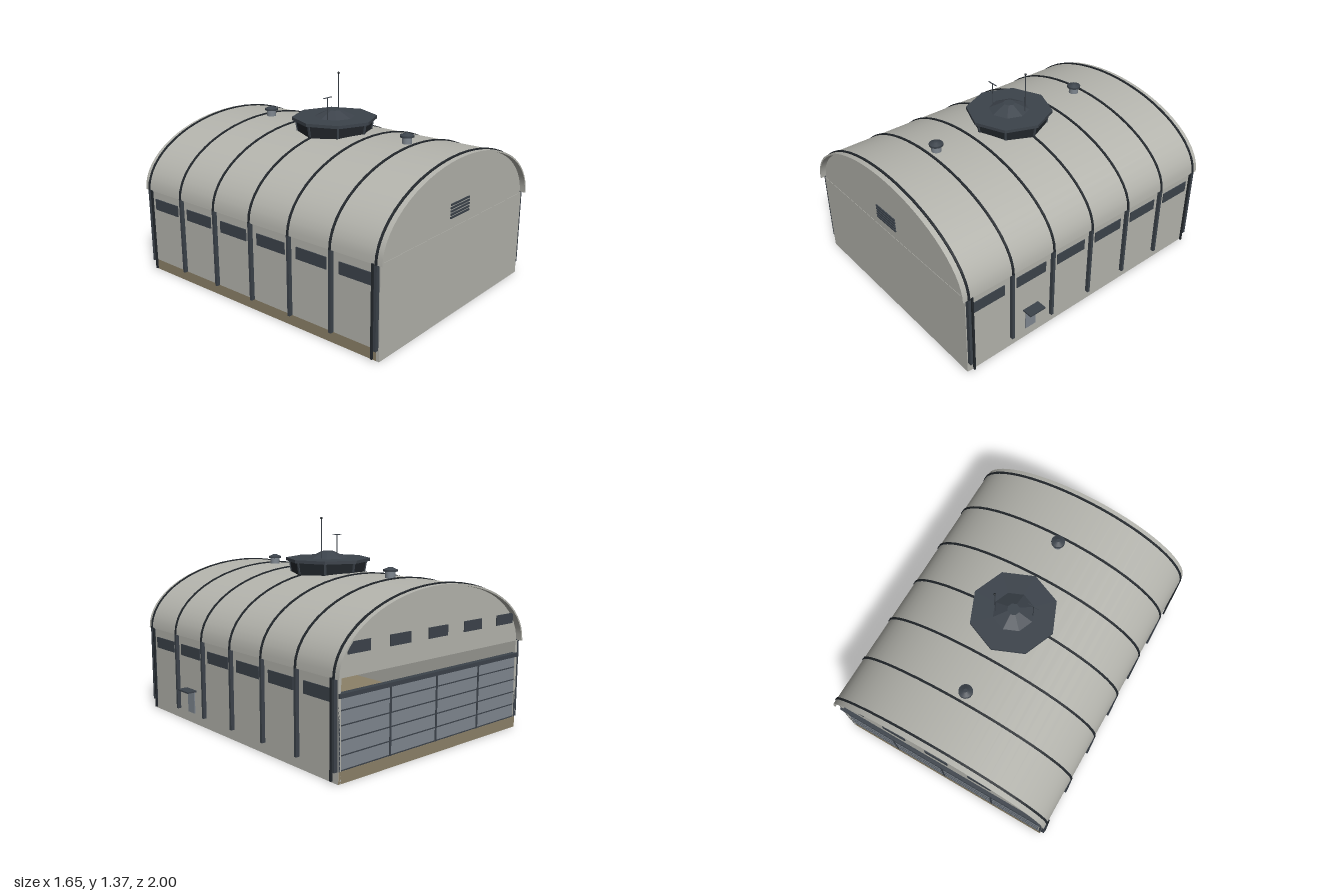
import * as THREE from 'three';
import { toCreasedNormals } from 'three/addons/utils/BufferGeometryUtils.js';

const mat = (name, color, side = THREE.FrontSide) => {
  const m = new THREE.MeshStandardMaterial({ color, side });
  m.name = name;
  return m;
};

export function createModel() {
  const wall = mat('wall grey', 0xb4b4ad, THREE.DoubleSide);
  const trim = mat('dark trim', 0x23282d);
  const steel = mat('blue steel', 0x3c434b);
  const door = mat('door grey', 0x7f8790);
  const concrete = mat('concrete tan', 0x8c8168);

  const root = new THREE.Group();
  root.name = 'hangar';
  const body = new THREE.Group();
  body.name = 'building';
  body.position.x = -0.0225;
  root.add(body);

  const add = (name, geo, material, x = 0, y = 0, z = 0) => {
    const m = new THREE.Mesh(geo, material);
    m.name = name;
    m.position.set(x, y, z);
    body.add(m);
    return m;
  };
  const box = (name, material, w, h, d, x, y, z) =>
    add(name, new THREE.BoxGeometry(w, h, d), material, x, y, z);
  const cyl = (name, material, rt, rb, y0, y1, x, z, n = 8) =>
    add(name, new THREE.CylinderGeometry(rt, rb, y1 - y0, n), material, x, (y0 + y1) / 2, z);

  const SPRING = 0.58, HALF = 0.777;

  // Half-ellipse profile; with inner radii it becomes an arched band
  const archPoints = (a, b, n) => Array.from({ length: n + 1 }, (_, i) => {
    const t = (i / n) * Math.PI;
    return new THREE.Vector2(Math.cos(t) * a, Math.sin(t) * b);
  });
  const arch = (a, b, depth, n, ai, bi) => {
    const pts = archPoints(a, b, n);
    if (ai) pts.push(...archPoints(ai, bi, n).reverse());
    const g = new THREE.ExtrudeGeometry(new THREE.Shape(pts), { depth, bevelEnabled: false });
    return g.translate(0, 0, -depth / 2);
  };

  // Floor slab and walls
  box('floorSlab', concrete, HALF * 2, 0.07, 1.93, 0, 0.035, -0.01);
  box('frontWall', wall, HALF * 2, SPRING, 0.02, 0, SPRING / 2, 0.965);
  box('leftWall', wall, 0.02, SPRING, 1.94, HALF - 0.009, SPRING / 2, -0.005);
  box('rightWall', wall, 0.02, SPRING - 0.07, 1.94, -HALF + 0.01, (SPRING + 0.07) / 2, -0.005);

  // Barrel roof and end gables
  add('roof', toCreasedNormals(arch(0.796, 0.432, 2, 32, 0.785, 0.421), 0.5), wall, 0, SPRING, 0);
  add('frontGable', arch(0.766, 0.425, 0.02, 32), wall, 0, SPRING, 0.963);
  add('backGable', arch(0.766, 0.425, 0.02, 32), wall, 0, SPRING, -0.963);

  // Roof ribs with wall posts
  for (let i = -3; i <= 3; i++) {
    const z = i * 0.32;
    add('roofRib', arch(0.803, 0.44, 0.014, 24, 0.788, 0.425), trim, 0, SPRING, z);
    for (const s of [-1, 1])
      box('wallPost', steel, 0.026, SPRING - 0.065, 0.018, s * 0.789, (SPRING + 0.075) / 2, z);
  }

  // Corner downpipes and side window strips
  for (const s of [-1, 1]) {
    for (const e of [-1, 1])
      box('downpipe', trim, 0.012, 0.57, 0.012, s * 0.797, 0.3, e * 0.938);
    for (let i = 0; i < 6; i++)
      box('sideWindow', steel, 0.009, 0.075, 0.23, s * (HALF + 0.002), 0.483, (i - 2.5) * 0.323);
  }

  // Side door with canopy
  box('sideDoor', door, 0.009, 0.145, 0.078, HALF + 0.003, 0.143, 0.488);
  box('doorCanopy', steel, 0.07, 0.01, 0.12, 0.8125, 0.227, 0.485);

  // Louvre on the front gable
  for (let i = 0; i < 5; i++)
    box('louvreSlat', steel, 0.204, 0.011, 0.009, 0, 0.648 + i * 0.0203, 0.976);

  // Gable windows at the back
  for (let i = -2; i <= 2; i++)
    box('gableWindow', steel, 0.165, 0.065, 0.009, i * 0.315, 0.735, -0.975);

  // Sliding back doors, their seams and overhead track
  const panelW = (HALF * 2) / 4, y0 = 0.07, y1 = 0.485;
  for (let i = 0; i < 4; i++)
    box('hangarDoorPanel', door, panelW - 0.004, y1 - y0, 0.02, (i - 1.5) * panelW, (y0 + y1) / 2, -0.962);
  for (let i = 0; i <= 4; i++)
    box('doorStile', steel, 0.014, y1 - y0, 0.024, (i - 2) * (panelW - 0.004), (y0 + y1) / 2, -0.963);
  for (let i = 0; i < 5; i++)
    box('doorSeam', steel, HALF * 2 - 0.01, 0.007, 0.024, 0, y0 + 0.004 + i * 0.083, -0.962);
  box('doorTrack', steel, HALF * 2, 0.025, 0.036, 0, 0.488, -0.97);

  // Octagonal roof lookout
  const flat = (m) => { m.geometry = toCreasedNormals(m.geometry, 0.1); return m; };
  flat(cyl('lookoutBase', trim, 0.256, 0.235, 0.95, 1.078, 0, 0));
  flat(cyl('lookoutRoof', steel, 0.28, 0.28, 1.075, 1.095, 0, 0));
  flat(cyl('lookoutCap', steel, 0.04, 0.135, 1.094, 1.138, 0, 0));
  for (let i = 0; i < 8; i++) {
    const a = (i / 8) * Math.PI * 2;
    const m = box('lookoutMullion', steel, 0.014, 0.075, 0.014, Math.sin(a) * 0.248, 1.042, Math.cos(a) * 0.248);
    m.rotation.set(0.16, a, 0, 'YXZ');
  }

  // Roof ventilators
  for (const s of [-1, 1]) {
    cyl('ventPipe', door, 0.032, 0.032, 0.99, 1.055, 0, s * 0.58, 16);
    cyl('ventCap', steel, 0.045, 0.045, 1.052, 1.064, 0, s * 0.58, 16);
    cyl('ventCone', steel, 0.012, 0.042, 1.064, 1.078, 0, s * 0.58, 16);
  }

  // Aerials
  cyl('aerialMast', steel, 0.003, 0.003, 1.09, 1.24, -0.117, 0.04, 6);
  box('aerialCrossbar', steel, 0.078, 0.005, 0.005, -0.117, 1.24, 0.04);
  cyl('whipAerial', steel, 0.003, 0.004, 1.09, 1.36, 0.1, -0.05, 6);
  add('aerialTip', new THREE.SphereGeometry(0.008, 10, 8), trim, 0.1, 1.36, -0.05);

  return root;
}
